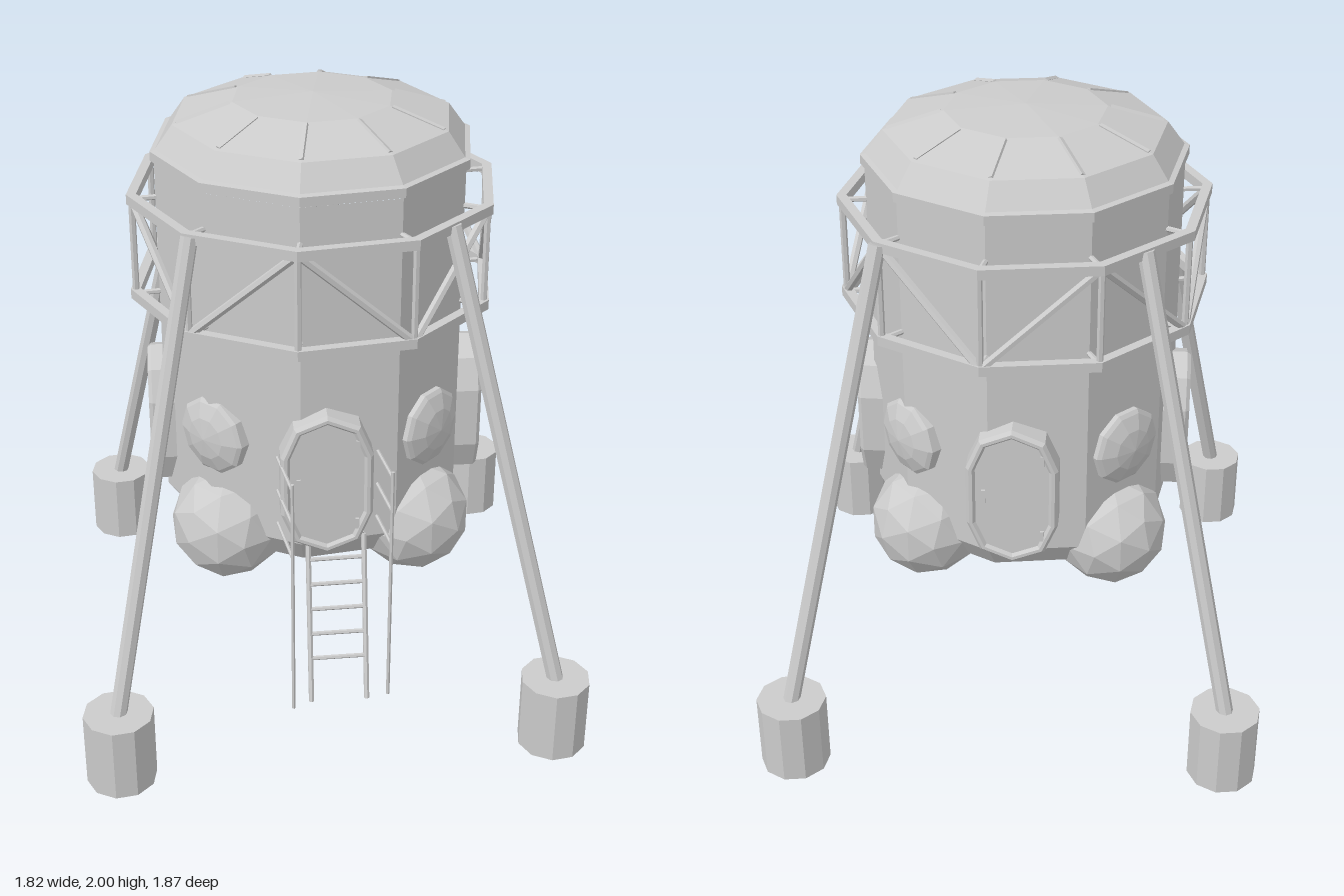
import * as THREE from 'three';

const SIDES = 10;
const rad = THREE.MathUtils.degToRad;
const V = (x, y, z) => new THREE.Vector3(x, y, z);
const grey = new THREE.MeshStandardMaterial({ color: 0xcccccc, flatShading: true });
const greyDouble = new THREE.MeshStandardMaterial({ color: 0xcccccc, flatShading: true, side: THREE.DoubleSide });

function add(parent, name, geometry, material = grey) {
  const mesh = new THREE.Mesh(geometry, material);
  mesh.name = name;
  parent.add(mesh);
  return mesh;
}

// Ten-sided turned solid, with corners on the x axis
function turned(points) {
  return new THREE.LatheGeometry(points.map(([r, y]) => new THREE.Vector2(r, y)), SIDES, rad(18));
}

// Straight rod between two points
function rod(parent, name, a, b, radius, sides = 6) {
  const mesh = add(parent, name, new THREE.CylinderGeometry(radius, radius, a.distanceTo(b), sides));
  mesh.position.copy(a).lerp(b, 0.5);
  mesh.quaternion.setFromUnitVectors(V(0, 1, 0), b.clone().sub(a).normalize());
  return mesh;
}

// Corner number i of a decagon
function corner(i, r, y) {
  const a = rad(18 + 36 * i);
  return V(r * Math.sin(a), y, r * Math.cos(a));
}

// Upright capsule outline with faceted ends
function capsule(r, half, PathType = THREE.Shape) {
  const pts = [];
  for (const end of [0, 1]) {
    for (let i = 0; i <= 4; i++) {
      const a = Math.PI * (end + i / 4);
      pts.push(new THREE.Vector2(r * Math.cos(a), r * Math.sin(a) + (end ? -half : half)));
    }
  }
  return new PathType(pts);
}

function buildHull(parent) {
  const hull = new THREE.Group();
  hull.name = 'hull';
  add(hull, 'cabin', turned([[0, 0.5], [0.27, 0.51], [0.43, 0.56], [0.505, 0.66], [0.505, 1.81]]));
  add(hull, 'roofCollar', turned([[0.48, 1.81], [0.517, 1.815], [0.517, 1.845], [0.49, 1.85]]));
  add(hull, 'roof', turned([[0.5, 1.85], [0.445, 1.925], [0.255, 1.982], [0, 1.997]]));
  // Ribs along the roof corners
  for (let i = 0; i < SIDES; i++) {
    rod(hull, 'roofRib', corner(i, 0.43, 1.926), corner(i, 0.262, 1.977), 0.01, 4);
  }
  parent.add(hull);
}

function buildTruss(parent) {
  const truss = new THREE.Group();
  truss.name = 'trussRing';
  const low = 1.375, high = 1.695, r = 0.58;
  for (const y of [low, high]) {
    const h = 0.016;
    add(truss, 'hoop', turned([[0.565, y - h], [0.597, y - h], [0.597, y + h], [0.565, y + h], [0.565, y - h]]));
  }
  for (let i = 0; i < SIDES; i++) {
    rod(truss, 'post', corner(i, r, low), corner(i, r, high), 0.011);
    // Diagonals zigzag from bay to bay
    const up = i % 2 === 0;
    rod(truss, 'diagonal', corner(i, r, up ? high : low), corner(i + 1, r, up ? low : high), 0.014);
    for (const y of [low, high]) rod(truss, 'tie', corner(i, 0.49, y), corner(i, r, y), 0.009);
  }
  // Front bay rises towards +x
  truss.rotation.y = rad(36);
  parent.add(truss);
}

// Door in a raised frame, facing +z
function buildHatch(parent, angle) {
  const hatch = new THREE.Group();
  hatch.name = 'hatch';
  const door = new THREE.ExtrudeGeometry(capsule(0.13, 0.1), { depth: 0.105, bevelEnabled: false });
  add(hatch, 'door', door).position.z = 0.435;
  const outline = capsule(0.135, 0.1);
  outline.holes.push(capsule(0.124, 0.1, THREE.Path));
  const frame = new THREE.ExtrudeGeometry(outline, {
    depth: 0.09, bevelThickness: 0.012, bevelSize: 0.01, bevelSegments: 1,
  });
  add(hatch, 'doorFrame', frame).position.z = 0.448;
  for (const y of [-0.14, 0.14]) {
    add(hatch, 'hinge', new THREE.BoxGeometry(0.012, 0.035, 0.012)).position.set(0.095, y, 0.542);
  }
  add(hatch, 'handle', new THREE.BoxGeometry(0.012, 0.05, 0.012)).position.set(-0.09, 0, 0.542);
  hatch.position.y = 0.9;
  hatch.rotation.y = angle;
  parent.add(hatch);
}

// Bulging round window with a tank below it
function buildCornerUnit(parent, angle) {
  const unit = new THREE.Group();
  unit.name = 'cornerUnit';
  const port = add(unit, 'porthole', turned([[0.13, -0.05], [0.13, 0.012], [0.118, 0.022], [0.07, 0.042], [0, 0.052]]));
  port.position.set(0, 0.99, 0.485);
  port.rotation.x = Math.PI / 2;
  add(unit, 'tank', new THREE.IcosahedronGeometry(0.188, 1)).position.set(0, 0.645, 0.43);
  unit.rotation.y = angle;
  parent.add(unit);
}

function buildLeg(parent, top, foot) {
  const leg = new THREE.Group();
  leg.name = 'leg';
  rod(leg, 'strut', V(foot[0], 0.24, foot[1]), V(top[0], 1.7, top[1]), 0.027, 8);
  const pad = add(leg, 'footPad', turned([[0.112, 0], [0.112, 0.25], [0, 0.25]]), greyDouble);
  pad.position.set(foot[0], 0, foot[1]);
  parent.add(leg);
}

function buildLadder(parent) {
  const ladder = new THREE.Group();
  ladder.name = 'ladder';
  const rails = [
    [V(-0.175, 0.17, 0.66), V(-0.15, 0.7, 0.51)],
    [V(0.003, 0.17, 0.685), V(0.028, 0.7, 0.53)],
  ];
  for (const [a, b] of rails) rod(ladder, 'rail', a, b, 0.009);
  for (let i = 0; i < 6; i++) {
    const t = 0.265 + i * 0.15;
    const ends = rails.map(([a, b]) => a.clone().lerp(b, t));
    rod(ladder, 'rung', ends[0], ends[1], 0.007);
  }
  // Handrail poles with bars back to the cabin
  for (const x of [-0.233, 0.083]) {
    rod(ladder, 'handrail', V(x, 0.15, 0.655), V(x, 0.99, 0.655), 0.006);
    for (const y of [0.73, 0.85, 0.97]) {
      rod(ladder, 'handrailBar', V(x, y, 0.655), V(x, y, 0.45), 0.006);
    }
  }
  parent.add(ladder);
}

export function createModel() {
  const model = new THREE.Group();
  model.name = 'lander';

  const body = new THREE.Group();
  body.name = 'body';
  body.position.set(-0.01, 0, 0.005);
  buildHull(body);
  buildTruss(body);
  for (let i = 0; i < 4; i++) {
    buildHatch(body, rad(-9 + 90 * i));
    buildCornerUnit(body, rad(36 + 90 * i));
  }
  model.add(body);

  buildLeg(model, [0.31, 0.46], [0.595, 0.825]);
  buildLeg(model, [-0.47, 0.36], [-0.8, 0.67]);
  buildLeg(model, [-0.33, -0.45], [-0.585, -0.83]);
  buildLeg(model, [0.46, -0.345], [0.8, -0.665]);
  buildLadder(model);
  return model;
}
